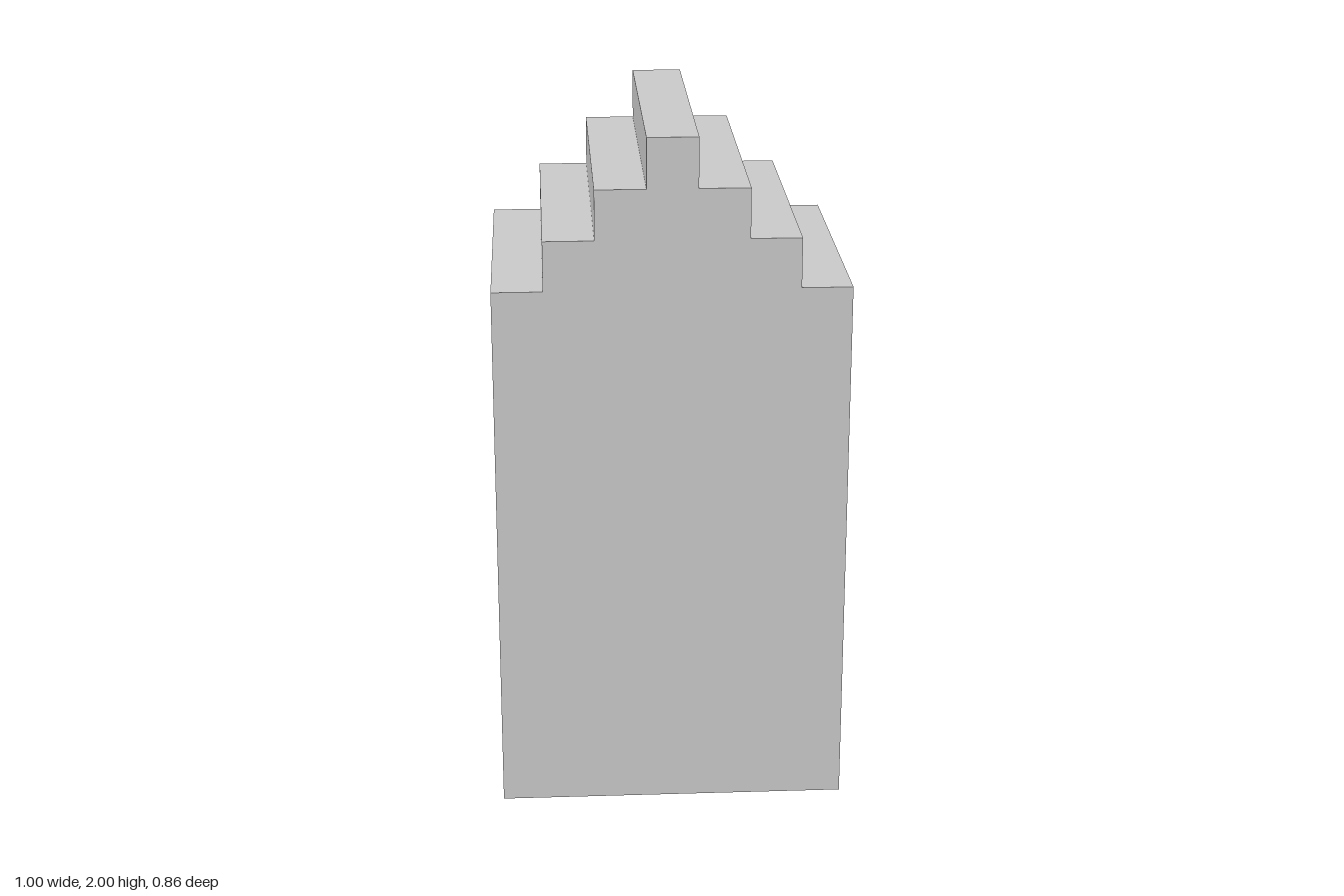
import * as THREE from 'three';

const UNIT = 1 / 7; // step size; the block is 7 wide, 14 tall, 6 deep
const WALL = 11;    // wall height in steps
const STEPS = 4;    // gable levels, including the ridge
const DEPTH = 6;

// Right half of the stepped gable, from the base up to the ridge
function gableHalf() {
  const points = [[STEPS - 0.5, 0]];
  for (let i = 0; i < STEPS; i++) {
    const x = STEPS - 0.5 - i;
    if (i > 0) points.push([x, WALL + i - 1]);
    points.push([x, WALL + i]);
  }
  return points;
}

export function createModel() {
  const group = new THREE.Group();
  group.name = 'steppedGableHouse';

  // Mirror the half profile into a closed outline
  const half = gableHalf();
  const mirrored = half.map(([x, y]) => [-x, y]).reverse();
  const outline = [...half, ...mirrored].map(([x, y]) => new THREE.Vector2(x * UNIT, y * UNIT));

  // Walls and stepped roof as one solid, running front to back
  const geometry = new THREE.ExtrudeGeometry(new THREE.Shape(outline), {
    depth: DEPTH * UNIT,
    bevelEnabled: false,
  });
  geometry.translate(0, 0, -DEPTH * UNIT / 2);

  const body = new THREE.Mesh(
    geometry,
    new THREE.MeshStandardMaterial({ color: 0xcccccc, flatShading: true })
  );
  body.name = 'houseBody';
  group.add(body);
  return group;
}
